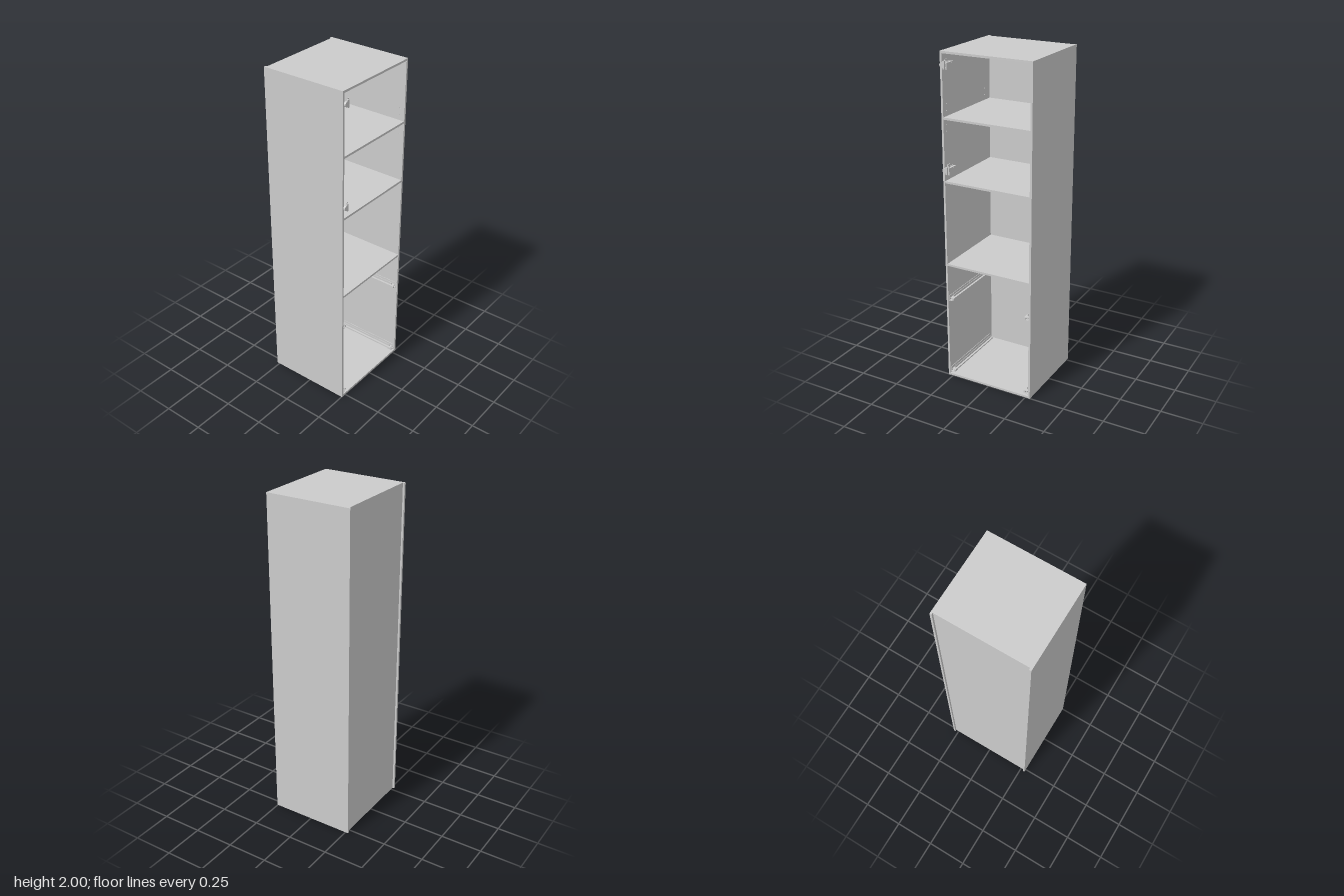
import * as THREE from 'three';

const mat = new THREE.MeshStandardMaterial({ color: 0xcccccc });
const FRONT = 0.2535, BACK = -0.268, BACK_FACE = -0.257; // the open side faces +x
const HALF = 0.2815, T = 0.0125, INNER = HALF - T;

function add(parent, name, geo, x = 0, y = 0, z = 0) {
  const m = new THREE.Mesh(geo, mat);
  m.name = name;
  m.position.set(x, y, z);
  parent.add(m);
  return m;
}

// Box given by its limits on each axis
function slab(parent, name, [x0, x1], [y0, y1], [z0, z1]) {
  return add(parent, name, new THREE.BoxGeometry(x1 - x0, y1 - y0, z1 - z0),
    (x0 + x1) / 2, (y0 + y1) / 2, (z0 + z1) / 2);
}

// Side panel: solid outer skin and an inner layer drilled for shelf pins
function sidePanel(parent, name, s) {
  const skin = 0.005;
  const outer = [s * HALF, s * (HALF - skin)].sort((a, b) => a - b);
  slab(parent, name + 'Skin', [BACK, FRONT], [0, 2], outer);
  const shape = new THREE.Shape();
  shape.moveTo(BACK, 0).lineTo(FRONT, 0).lineTo(FRONT, 2).lineTo(BACK, 2).closePath();
  for (const x of [0.222, -0.19]) {
    for (let i = 0; i < 5; i++) {
      const hole = new THREE.Path();
      hole.absarc(x, 1.55 + i * 0.039, 0.003, 0, Math.PI * 2, true);
      shape.holes.push(hole);
    }
  }
  const geo = new THREE.ExtrudeGeometry(shape, { depth: T - skin, bevelEnabled: false, curveSegments: 8 });
  add(parent, name, geo, 0, 0, s > 0 ? INNER : -HALF + skin);
}

// Drawer runner: extruded stepped rail fixed to the side wall
function runner(parent, s, y) {
  const g = new THREE.Group();
  g.name = 'drawerRunner';
  g.position.y = y;
  const z = (a, b) => [s * a, s * b].sort((p, q) => p - q);
  const x0 = -0.22, x1 = 0.247;
  slab(g, 'wallPlate', [x0, x1], [0, 0.036], z(INNER, INNER - 0.003));
  slab(g, 'lowerFlange', [x0, x1], [0.004, 0.007], z(INNER, 0.246));
  slab(g, 'middleRail', [x0, x1 - 0.012], [0.007, 0.02], z(0.255, 0.243));
  slab(g, 'upperFlange', [x0 + 0.02, x1 - 0.004], [0.02, 0.023], z(0.262, 0.236));
  slab(g, 'slideLip', [x0 + 0.02, x1 - 0.02], [0.023, 0.036], z(0.251, 0.248));
  slab(g, 'frontCatch', [x1 - 0.025, x1], [0.01, 0.02], z(0.246, 0.236));
  for (const x of [-0.15, 0.02, 0.2]) {
    const screw = add(g, 'screw', new THREE.CylinderGeometry(0.004, 0.004, 0.002, 10), x, 0.029, s * (INNER - 0.004));
    screw.rotation.x = Math.PI / 2;
  }
  parent.add(g);
}

// Concealed hinge: wall plate, arm, knuckle and cup
function hinge(parent, y) {
  const g = new THREE.Group();
  g.name = 'hinge';
  g.position.y = y;
  slab(g, 'mountingPlate', [0.17, 0.245], [-0.01, 0.01], [INNER - 0.005, INNER]);
  slab(g, 'plateWings', [0.205, 0.228], [-0.025, 0.025], [INNER - 0.004, INNER]);
  slab(g, 'arm', [0.165, 0.25], [-0.007, 0.007], [0.25, INNER - 0.005]);
  slab(g, 'knuckle', [0.245, 0.258], [-0.009, 0.009], [0.242, 0.262]);
  slab(g, 'cupFlange', [0.2535, 0.256], [-0.025, 0.025], [0.238, 0.252]);
  const cup = add(g, 'cup', new THREE.CylinderGeometry(0.0155, 0.0155, 0.011, 24), 0.2605, 0, 0.262);
  cup.rotation.z = Math.PI / 2;
  slab(g, 'cupBracket', [0.256, 0.266], [-0.022, 0.022], [0.246, 0.258]);
  const screw = add(g, 'screw', new THREE.CylinderGeometry(0.004, 0.004, 0.003, 10), 0.19, 0, 0.249);
  screw.rotation.x = Math.PI / 2;
  parent.add(g);
}

export function createModel() {
  const model = new THREE.Group();
  model.name = 'tallCabinet';

  // Carcass
  sidePanel(model, 'leftPanel', 1);
  sidePanel(model, 'rightPanel', -1);
  const inside = [-INNER, INNER];
  slab(model, 'backPanel', [BACK_FACE, BACK_FACE + 0.005], [0, 2], inside);
  slab(model, 'topPanel', [BACK_FACE, FRONT], [2 - T, 2], inside);
  slab(model, 'bottomPanel', [BACK_FACE, FRONT], [0.002, 0.002 + T], inside);

  // Shelves
  for (const y of [0.745, 1.258, 1.628])
    slab(model, 'shelf', [BACK_FACE + 0.005, FRONT - 0.001], [y - T / 2, y + T / 2], inside);

  // Fittings
  for (const s of [1, -1]) for (const y of [0.018, 0.506]) runner(model, s, y);
  for (const y of [1.33, 1.927]) hinge(model, y);

  return model;
}
